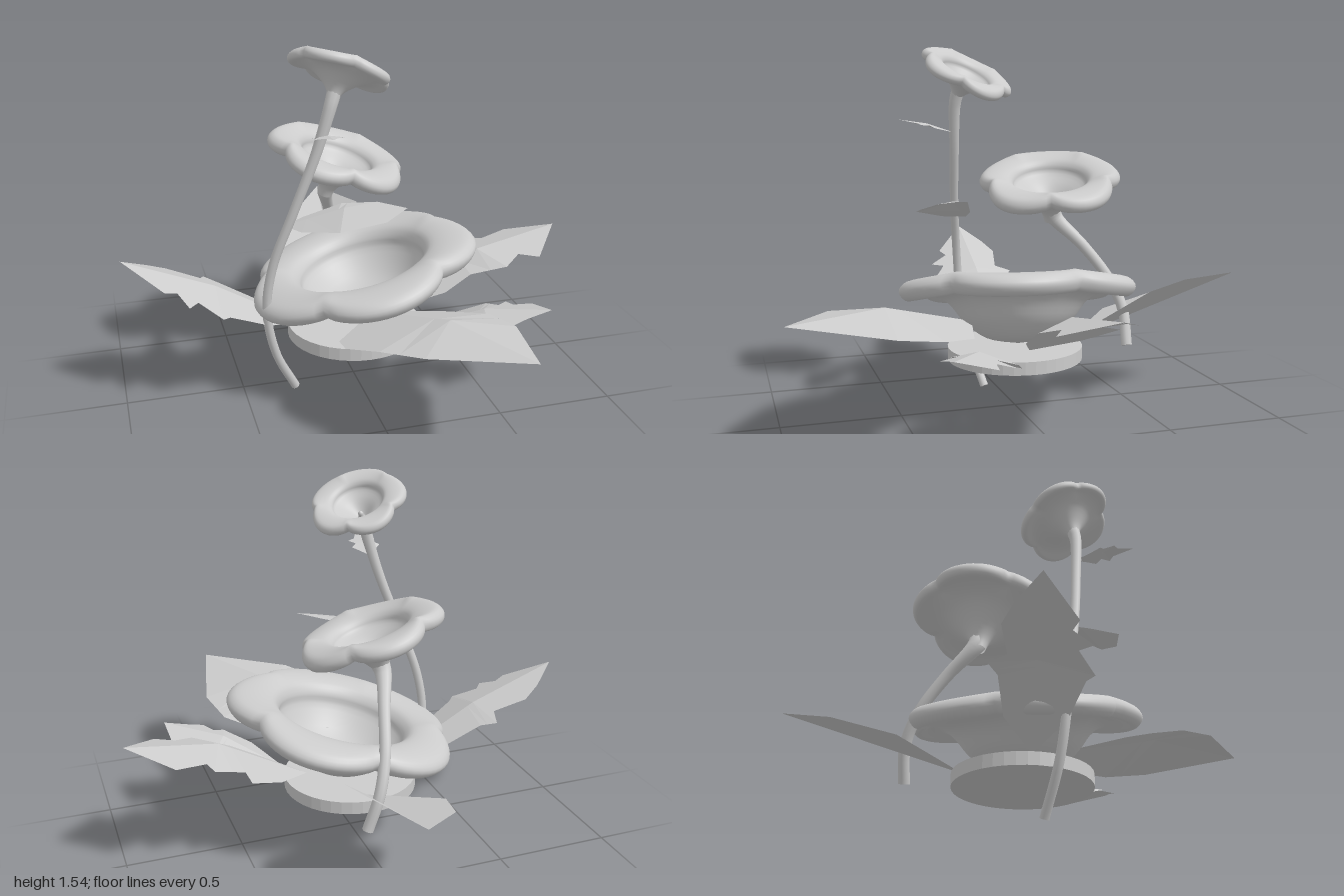
import * as THREE from 'three';
import { mergeVertices } from 'three/addons/utils/BufferGeometryUtils.js';

const smooth = new THREE.MeshStandardMaterial({ color: 0xcccccc, side: THREE.DoubleSide });
const faceted = new THREE.MeshStandardMaterial({ color: 0xcccccc, side: THREE.DoubleSide, flatShading: true });
const V = (p) => new THREE.Vector3(...p);
const UP = new THREE.Vector3(0, 1, 0);

function mesh(name, geometry, material) {
  const m = new THREE.Mesh(geometry, material);
  m.name = name;
  return m;
}

// Profiles run up the outside, over the rolled rim and down into the cup
const BOWL = [[0, -0.46], [0.25, -0.42], [0.44, -0.29], [0.56, -0.14], [0.66, -0.07], [0.8, -0.05], [0.93, -0.08],
  [1, 0], [0.94, 0.08], [0.78, 0.1], [0.62, 0.07], [0.55, -0.01], [0.52, -0.12], [0.32, -0.33], [0, -0.41]];
const TRUMPET = [[0.09, -0.62], [0.13, -0.48], [0.26, -0.32], [0.5, -0.15], [0.75, -0.09], [0.94, -0.1],
  [1, 0], [0.93, 0.1], [0.77, 0.11], [0.6, 0.07], [0.52, 0], [0.48, -0.09], [0.3, -0.21], [0.12, -0.37],
  [0.06, -0.4], [0.05, -0.3], [0, -0.26]];

// Five-lobed flower: a lathe whose outer part is pinched between drooping petals
function flower(name, profile, center, radius, normal, lobeAngle, droop) {
  const curve = new THREE.SplineCurve(profile.map((p) => new THREE.Vector2(...p)));
  const pts = curve.getPoints(52);
  pts.forEach((p) => { p.x = Math.max(p.x, 0); });
  let geo = new THREE.LatheGeometry(pts, 80);
  geo.deleteAttribute('uv');
  geo.deleteAttribute('normal');
  geo = mergeVertices(geo, 1e-4);
  const pos = geo.attributes.position;
  for (let i = 0; i < pos.count; i++) {
    const x = pos.getX(i), z = pos.getZ(i);
    const lobe = Math.pow(Math.abs(Math.cos(2.5 * (Math.atan2(z, x) - lobeAngle))), 0.8);
    const outer = THREE.MathUtils.smoothstep(Math.hypot(x, z), 0.55, 1);
    const k = 1 - 0.13 * (1 - lobe) * outer;
    pos.setXYZ(i, x * k, pos.getY(i) + droop * (0.55 - lobe) * outer, z * k);
  }
  geo.scale(radius, radius, radius);
  geo.computeVertexNormals();
  const m = mesh(name, geo, smooth);
  m.position.set(...center);
  m.quaternion.setFromUnitVectors(UP, V(normal).normalize());
  return m;
}

// Round stem that swells towards its upper end, with a closed lower end
function stem(name, points, radius, flare) {
  const group = new THREE.Group();
  group.name = name;
  const path = new THREE.CatmullRomCurve3(points.map(V));
  const geo = new THREE.TubeGeometry(path, 40, radius, 10);
  const pos = geo.attributes.position, p = new THREE.Vector3();
  for (let i = 0; i < pos.count; i++) {
    const t = Math.floor(i / 11) / 40, c = path.getPointAt(t);
    p.fromBufferAttribute(pos, i).sub(c).multiplyScalar(1 + flare * t ** 7).add(c);
    pos.setXYZ(i, p.x, p.y, p.z);
  }
  const cap = mesh(name + 'End', new THREE.CircleGeometry(radius, 10), smooth);
  cap.position.copy(path.getPoint(0));
  cap.quaternion.setFromUnitVectors(new THREE.Vector3(0, 0, 1), path.getTangent(0).negate());
  group.add(mesh(name + 'Tube', geo, smooth), cap);
  return group;
}

// Faceted leaf: each side is a list of [x, z] outline points hung on a midrib bent
// at its middle; slope raises or lowers the edge in proportion to its distance
function leaf(name, root, tip, arch, sides) {
  const a = V(root), b = V(tip);
  const dx = b.x - a.x, dz = b.z - a.z, len2 = dx * dx + dz * dz;
  const rib = (t) => {
    const p = a.clone().lerp(b, t);
    p.y += arch * (1 - Math.abs(2 * t - 1));
    return p;
  };
  const verts = [];
  for (const { slope, edge } of sides) {
    const rows = edge.map(([x, z]) => {
      const t = THREE.MathUtils.clamp(((x - a.x) * dx + (z - a.z) * dz) / len2, 0, 1);
      const s = rib(t);
      return { t, e: new THREE.Vector3(x, s.y + slope * Math.hypot(x - s.x, z - s.z), z) };
    });
    rows.unshift({ t: 0, e: a });
    rows.push({ t: 1, e: b });
    // both sides share a row at the bend so that the halves meet
    const bend = rows.findIndex((r) => r.t > 0.5);
    const r0 = rows[bend - 1], r1 = rows[bend];
    rows.splice(bend, 0, { t: 0.5, e: r0.e.clone().lerp(r1.e, (0.5 - r0.t) / (r1.t - r0.t)) });
    for (let i = 0; i + 1 < rows.length; i++) {
      const s0 = rib(rows[i].t), s1 = rib(rows[i + 1].t), e0 = rows[i].e, e1 = rows[i + 1].e;
      for (const p of [s0, e0, e1, s0, e1, s1]) verts.push(p.x, p.y, p.z);
    }
  }
  const geo = new THREE.BufferGeometry();
  geo.setAttribute('position', new THREE.Float32BufferAttribute(verts, 3));
  geo.computeVertexNormals();
  return mesh(name, geo, faceted);
}

export function createModel() {
  const model = new THREE.Group();
  model.name = 'flowerArrangement';

  // Base disc
  const base = mesh('baseDisc', new THREE.CylinderGeometry(0.29, 0.29, 0.055, 40), faceted);
  base.position.y = 0.238;
  model.add(base);

  // Blossoms
  model.add(
    flower('largeFlower', BOWL, [0.035, 0.52, 0], 0.505, [-0.24, 1, -0.05], Math.PI / 2, 0.045),
    flower('middleFlower', TRUMPET, [-0.025, 0.97, -0.165], 0.31, [0.29, 1, 0.13], -Math.PI / 2, 0.08),
    flower('topFlower', TRUMPET, [-0.1, 1.425, 0.18], 0.21, [0.42, 1, -0.38], -Math.PI / 2, 0.08),
  );

  // Stems, from the lower end up
  model.add(
    stem('tallStem', [[-0.28, 0.005, 0.06], [-0.37, 0.2, 0.11], [-0.41, 0.42, 0.14], [-0.385, 0.62, 0.16],
      [-0.3, 0.86, 0.19], [-0.21, 1.1, 0.21], [-0.15, 1.3, 0.22], [-0.135, 1.345, 0.212]], 0.019, 0.5),
    stem('middleStem', [[0.1, 0.25, -0.48], [0.05, 0.4, -0.48], [0.01, 0.53, -0.43], [-0.03, 0.68, -0.32],
      [-0.07, 0.8, -0.205], [-0.062, 0.84, -0.185]], 0.024, 0.8),
  );

  // Broad smooth-edged leaves
  model.add(
    leaf('frontLeaf', [0.03, 0.39, 0.2], [0.41, 0.51, 1], 0.065, [
      { slope: -0.25, edge: [[0.3, 0.26], [0.46, 0.41], [0.5, 0.6]] },
      { slope: -0.15, edge: [[-0.17, 0.4], [-0.17, 0.5], [-0.08, 0.65], [0.05, 0.8]] },
    ]),
    leaf('backLeaf', [0.01, 0.27, -0.24], [0.08, 0.54, -1], 0, [
      { slope: 0.7, edge: [[0.22, -0.53], [0.21, -0.7]] },
      { slope: -0.05, edge: [[-0.23, -0.5], [-0.14, -0.77]] },
    ]),
  );

  // Toothed leaves
  model.add(
    leaf('rightLeaf', [-0.22, 0.28, 0.02], [-0.98, 0.65, 0], 0.035, [
      { slope: -0.25, edge: [[-0.4, -0.1], [-0.57, -0.13], [-0.63, -0.17], [-0.65, -0.1], [-0.79, -0.13], [-0.87, -0.09]] },
      { slope: -0.25, edge: [[-0.4, 0.14], [-0.57, 0.19], [-0.6, 0.22], [-0.69, 0.15], [-0.73, 0.2],
        [-0.77, 0.12], [-0.82, 0.14]] },
    ]),
    leaf('leftLeaf', [0.2, 0.29, 0], [0.98, 0.58, -0.08], 0.08, [
      { slope: -0.22, edge: [[0.36, -0.17], [0.45, -0.23], [0.51, -0.27], [0.52, -0.2], [0.65, -0.23],
        [0.67, -0.18], [0.8, -0.22]] },
      { slope: -0.25, edge: [[0.4, 0.08], [0.52, 0.07], [0.67, 0.12], [0.75, 0.06], [0.83, 0.11]] },
    ]),
    leaf('lowLeaf', [0.26, 0.26, 0.14], [0.73, 0.42, 0.45], 0.045, [
      { slope: -0.25, edge: [[0.45, 0.11], [0.56, 0.16], [0.58, 0.25], [0.64, 0.19], [0.64, 0.27], [0.72, 0.28]] },
      { slope: -0.25, edge: [[0.36, 0.32], [0.47, 0.4], [0.52, 0.38], [0.55, 0.46], [0.62, 0.45]] },
    ]),
  );

  // Leaves on the tall stem
  model.add(
    leaf('lowerStemLeaf', [-0.33, 0.785, 0.13], [0.12, 0.9, 0.36], 0.04, [
      { slope: 0.1, edge: [[-0.25, 0.13], [-0.1, 0.18], [0.03, 0.25]] },
      { slope: -0.3, edge: [[-0.28, 0.25], [-0.16, 0.39], [0.02, 0.41]] },
    ]),
    leaf('upperStemLeaf', [-0.185, 1.17, 0.21], [-0.2, 1.23, 0.46], 0.012, [
      { slope: -0.15, edge: [[-0.15, 0.27], [-0.125, 0.31], [-0.15, 0.33], [-0.13, 0.37], [-0.16, 0.38]] },
      { slope: -0.15, edge: [[-0.22, 0.27], [-0.255, 0.31], [-0.23, 0.33], [-0.255, 0.37], [-0.22, 0.39]] },
    ]),
  );

  return model;
}
